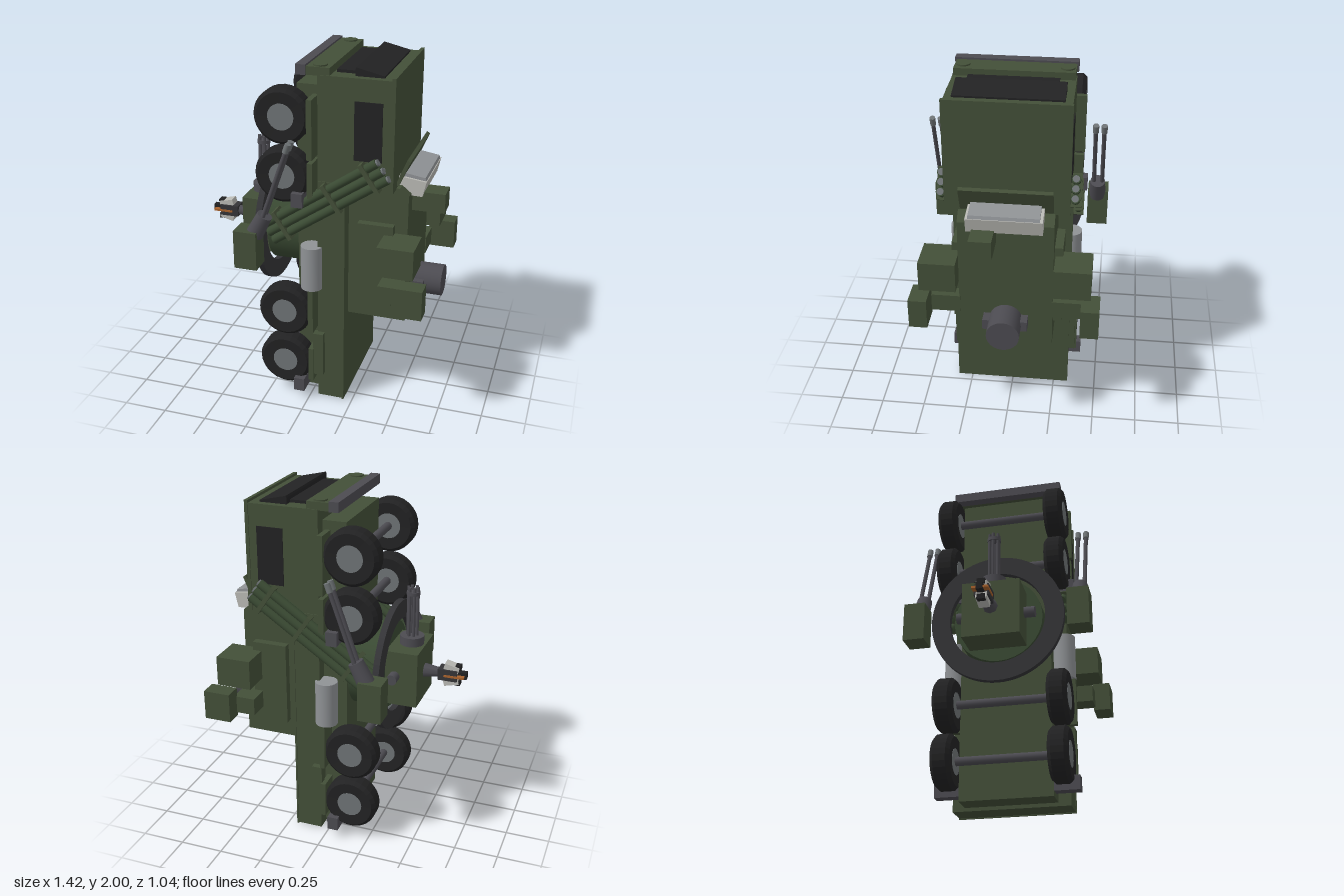
import * as THREE from 'three';

const mat = (name, color, extra = {}) => {
  const m = new THREE.MeshStandardMaterial({ color, ...extra });
  m.name = name;
  return m;
};

export function createModel() {
  const root = new THREE.Group();
  root.name = 'armouredTruck';
  const green = mat('armyGreen', 0x434f38);
  const darkGreen = mat('tubeGreen', 0x3a4a33);
  const black = mat('tyreBlack', 0x222223);
  const hubGrey = mat('hubGrey', 0x6e7375);
  const metal = mat('gunMetal', 0x4c4b51);
  const ringGrey = mat('ringGrey', 0x343437);
  const silver = mat('silver', 0x8f9295);
  const pale = mat('paleGrey', 0xb9b9b4);
  const orange = mat('orange', 0xa8622c);

  const add = (name, geo, m, parent = root) => {
    const mesh = new THREE.Mesh(geo, m);
    mesh.name = name;
    parent.add(mesh);
    return mesh;
  };
  // Box given by its limits on each axis
  const box = (name, m, x0, x1, y0, y1, z0, z1) => {
    const b = add(name, new THREE.BoxGeometry(x1 - x0, y1 - y0, Math.abs(z1 - z0)), m);
    b.position.set((x0 + x1) / 2, (y0 + y1) / 2, (z0 + z1) / 2);
    return b;
  };
  // Cylinder or cone running from point a to point b
  const rod = (name, m, a, b, r0, r1 = r0, seg = 16) => {
    const p = new THREE.Vector3(...a), q = new THREE.Vector3(...b);
    const d = q.clone().sub(p);
    const c = add(name, new THREE.CylinderGeometry(r1, r0, d.length(), seg), m);
    c.position.copy(p).add(q).multiplyScalar(0.5);
    c.quaternion.setFromUnitVectors(new THREE.Vector3(0, 1, 0), d.normalize());
    return c;
  };
  // Outline in x and y, given depth along z and centred there
  const slab = (name, m, pts, width) => {
    const s = new THREE.Shape(pts.map(p => new THREE.Vector2(...p)));
    const g = new THREE.ExtrudeGeometry(s, { depth: width, bevelEnabled: false });
    g.translate(0, 0, -width / 2);
    return add(name, g, m);
  };

  // Chassis, bed and cab
  box('chassis', green, -0.09, 0.045, 0.03, 1.88, -0.26, 0.26);
  box('bed', green, 0.045, 0.19, 0.01, 1.37, -0.33, 0.33);
  box('bedDeck', green, 0.19, 0.2, 0.005, 1.37, -0.335, 0.335);
  box('cab', green, 0.045, 0.44, 1.34, 1.95, -0.325, 0.325);
  box('cabRoof', green, 0.44, 0.46, 1.345, 1.965, -0.33, 0.33);
  box('bumperMount', green, -0.02, 0.11, 1.945, 1.99, -0.32, 0.32);
  box('bumper', metal, -0.072, -0.018, 1.945, 2.0, -0.33, 0.33);
  box('grille', black, 0.125, 0.24, 1.945, 1.966, -0.24, 0.24);
  slab('windscreen', black, [[0.235, 1.95], [0.39, 1.95], [0.39, 1.96], [0.24, 1.995], [0.235, 1.985]], 0.57);

  // Tyre profile spun about its axle
  const tyre = new THREE.LatheGeometry([[0.07, -0.05], [0.135, -0.055], [0.155, -0.035],
    [0.155, 0.035], [0.135, 0.055], [0.07, 0.05]].map(p => new THREE.Vector2(...p)), 28);
  tyre.rotateX(Math.PI / 2);
  const tyreFlat = tyre.toNonIndexed();
  tyreFlat.computeVertexNormals();
  for (const y of [1.72, 1.39, 0.56, 0.235]) {
    rod('axle', metal, [-0.145, y, -0.27], [-0.145, y, 0.27], 0.024);
    for (const s of [1, -1]) {
      add('tyre', tyreFlat, black).position.set(-0.145, y, s * 0.315);
      rod('wheelHub', hubGrey, [-0.145, y, s * 0.263], [-0.145, y, s * 0.367], 0.073, 0.073, 24);
    }
  }

  // Silver-tipped rocket tubes run on a slope along each flank
  const dir = new THREE.Vector2(0.6, 0.41).normalize();
  const along = (t, w) => [0.075 + dir.x * t - dir.y * w, 1.25 + dir.y * t + dir.x * w];

  // Flank equipment, mirrored to both sides
  for (const s of [1, -1]) {
    const side = (name, m, x0, x1, y0, y1, z0, z1) => box(name, m, x0, x1, y0, y1, s * z0, s * z1);
    side('sideWindow', black, 0.245, 0.395, 1.51, 1.83, 0.322, 0.33);
    side('mudguard', green, 0, 0.03, 1.5, 1.83, 0.25, 0.38);
    side('mudguard', green, 0, 0.03, 1.28, 1.48, 0.25, 0.375);
    side('mudguard', green, 0, 0.03, 0.45, 0.72, 0.25, 0.38);
    side('mudguard', green, 0, 0.03, 0.13, 0.34, 0.25, 0.375);
    side('toolBox', green, 0.025, 0.085, 0.17, 0.44, 0.32, 0.365);
    side('stepBlock', metal, -0.083, -0.02, 0.06, 0.14, 0.25, 0.4);
    side('stepBlock', metal, -0.083, -0.02, 1.23, 1.31, 0.25, 0.4);
    rod('headlight', green, [0.047, 1.98, s * 0.275], [0.047, 1.998, s * 0.275], 0.038, 0.038, 20);
    rod('fuelTank', silver, [0.008, 0.72, s * 0.32], [0.008, 0.98, s * 0.32], 0.063, 0.063, 20);

    for (const w of [-0.052, 0, 0.052]) for (const z of [0.308, 0.352]) {
      rod('rocketTube', darkGreen, [...along(-0.37, w), s * z], [...along(0.4, w), s * z], 0.025, 0.025, 12);
      rod('tubeTip', hubGrey, [...along(0.395, w), s * z], [...along(0.41, w), s * z], 0.019, 0.019, 12);
    }
    for (const t of [-0.27, 0.07, 0.32]) {
      const b = add('tubeBracket', new THREE.BoxGeometry(0.024, 0.18, 0.1), green);
      b.position.set(...along(t, 0), s * 0.333);
      b.rotation.z = Math.atan2(dir.y, dir.x);
    }

    // Twin gun
    side('gunMount', green, -0.375, -0.245, 0.88, 1.1, 0.4, 0.52);
    rod('gunBase', metal, [-0.275, 1.07, s * 0.455], [-0.212, 1.19, s * 0.455], 0.05, 0.043);
    for (const z of [0.433, 0.48]) {
      rod('gunBarrel', metal, [-0.225, 1.16, s * z], [-0.065, 1.61, s * z], 0.012, 0.012, 10);
      rod('barrelTip', hubGrey, [-0.08, 1.57, s * z], [-0.063, 1.618, s * z], 0.017, 0.017, 10);
    }

    // Turret side pods
    side('turretSidePanel', green, 0.26, 0.46, 0.66, 1.14, 0.24, 0.3);
    side('upperPod', green, 0.41, 0.61, 0.92, 1.09, 0.26, 0.46);
    side('lowerPodArm', green, 0.41, 0.535, 0.74, 0.84, 0.25, 0.42);
    side('lowerPod', green, 0.52, 0.675, 0.72, 0.89, 0.41, 0.51);
  }

  // Turret and the parts on its face
  slab('turret', green, [[0.19, 0.555], [0.53, 0.555], [0.53, 1.31], [0.48, 1.35], [0.19, 1.35]], 0.51);
  slab('turretFlap', green, [[0.45, 1.36], [0.47, 1.36], [0.53, 1.5], [0.512, 1.51]], 0.49);
  slab('sensorHousing', pale, [[0.46, 1.3], [0.59, 1.295], [0.61, 1.38], [0.46, 1.4]], 0.4);
  slab('sensorCover', silver, [[0.47, 1.395], [0.607, 1.378], [0.6, 1.398], [0.48, 1.418]], 0.37);
  box('sightBox', green, 0.53, 0.71, 1.2, 1.31, 0.05, 0.17);
  rod('hatchDrum', metal, [0.53, 0.71, 0], [0.695, 0.71, 0], 0.09, 0.09, 24);
  box('drumPins', metal, 0.53, 0.6, 0.68, 0.74, -0.122, 0.122);

  // Lower slewing drum and ring
  rod('slewDrum', darkGreen, [-0.28, 0.995, 0], [-0.05, 0.995, 0], 0.25, 0.25, 32);
  const ring = new THREE.Shape().absarc(0, 0, 0.375, 0, Math.PI * 2);
  ring.holes.push(new THREE.Path().absarc(0, 0, 0.27, 0, Math.PI * 2, true));
  const ringGeo = new THREE.ExtrudeGeometry(ring, { depth: 0.035, bevelEnabled: false, curveSegments: 32 });
  ringGeo.rotateY(Math.PI / 2);
  add('slewRing', ringGeo, ringGrey).position.set(-0.31, 0.995, 0);
  rod('crossShaft', metal, [-0.335, 0.995, -0.22], [-0.335, 0.995, 0.22], 0.03);

  // Lower gun box with a rotary gun
  box('lowerGunBox', green, -0.465, -0.28, 0.82, 1.14, -0.16, 0.16);
  rod('rotaryBase', metal, [-0.385, 1.14, 0], [-0.385, 1.19, 0], 0.068, 0.068, 24);
  for (let i = 0; i < 6; i++) {
    const a = i * Math.PI / 3, x = -0.385 + 0.027 * Math.cos(a), z = 0.027 * Math.sin(a);
    rod('rotaryBarrel', metal, [x, 1.18, z], [x, 1.475, z], 0.009, 0.009, 8);
  }
  rod('barrelClamp', metal, [-0.385, 1.43, 0], [-0.385, 1.45, 0], 0.038, 0.038, 18);

  // Small head on a tapering neck
  rod('neck', metal, [-0.465, 0.985, 0], [-0.59, 0.985, 0], 0.042, 0.022, 8);
  box('headCore', ringGrey, -0.66, -0.55, 0.955, 1.02, -0.04, 0.04);
  box('headSnout', black, -0.71, -0.65, 0.968, 1.008, -0.018, 0.018);
  box('headStripe', orange, -0.7, -0.585, 0.979, 0.991, -0.045, 0.045);
  for (const s of [1, -1]) {
    const jaw = add('headPlate', new THREE.BoxGeometry(0.085, 0.035, 0.06), pale);
    jaw.position.set(-0.625, 0.987 + s * 0.042, 0);
    jaw.rotation.z = s * 0.25;
    box('headTip', black, -0.675, -0.645, 0.987 + s * 0.045 - 0.015, 0.987 + s * 0.045 + 0.015, -0.022, 0.022);
  }
  return root;
}
